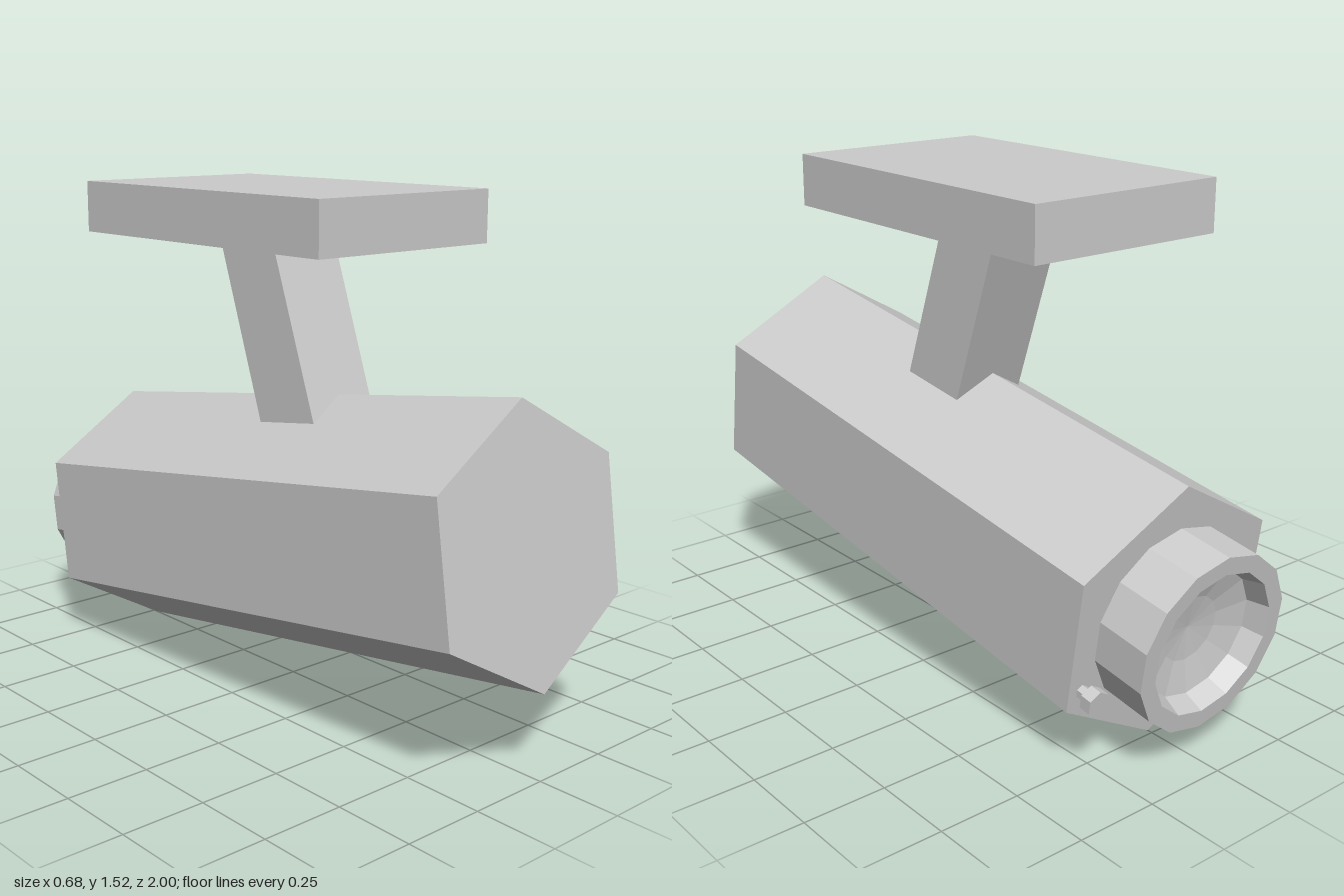
import * as THREE from 'three';

const material = new THREE.MeshStandardMaterial({ color: 0xcccccc, flatShading: true });

function part(name, geometry, parent, x = 0, y = 0, z = 0) {
  const mesh = new THREE.Mesh(geometry, material);
  mesh.name = name;
  mesh.position.set(x, y, z);
  parent.add(mesh);
  return mesh;
}

// Six-sided prism lying along z with a corner pointing up
const hexPrism = (radius, length) =>
  new THREE.CylinderGeometry(radius, radius, length, 6).rotateX(Math.PI / 2);

export function createModel() {
  const model = new THREE.Group();
  model.name = 'securityCamera';

  // Mounting plate
  part('mountingPlate', new THREE.BoxGeometry(0.65, 0.155, 1.065), model, 0, 1.4525, -0.0625);

  // Slanted arm: side profile (z, y) extruded across x
  const profile = new THREE.Shape([
    [0.045, 1.38], [-0.198, 1.38], [0.035, 0.7], [0.285, 0.7],
  ].map(([z, y]) => new THREE.Vector2(-z, y)));
  const arm = new THREE.ExtrudeGeometry(profile, { depth: 0.24, bevelEnabled: false });
  arm.translate(0, 0, -0.12).rotateY(Math.PI / 2);
  part('arm', arm, model);

  // Tilted camera head, lens towards -z
  const head = new THREE.Group();
  head.name = 'cameraHead';
  head.position.set(0, 0.52, 0.0775);
  head.rotation.x = -0.143;
  model.add(head);
  const half = 0.8765;
  part('body', hexPrism(0.394, half * 2), head);

  // Lens barrel with rim and dished glass
  const lathe = (points) => new THREE.LatheGeometry(
    points.map(([r, h]) => new THREE.Vector2(r, h)), 14).rotateX(-Math.PI / 2);
  part('lensBarrel', lathe([
    [0.2675, -0.02], [0.2675, 0.173], [0.215, 0.173], [0.195, 0.11],
  ]), head, 0, 0, -half);
  part('lens', lathe([
    [0.195, 0.11], [0.1, 0.085], [0, 0.075],
  ]), head, 0, 0, -half);

  // Small knob beside the lens
  part('knobStem', hexPrism(0.02, 0.06), head, 0.295, -0.145, -half - 0.015);
  part('knob', hexPrism(0.038, 0.036), head, 0.295, -0.145, -half - 0.05);

  return model;
}
